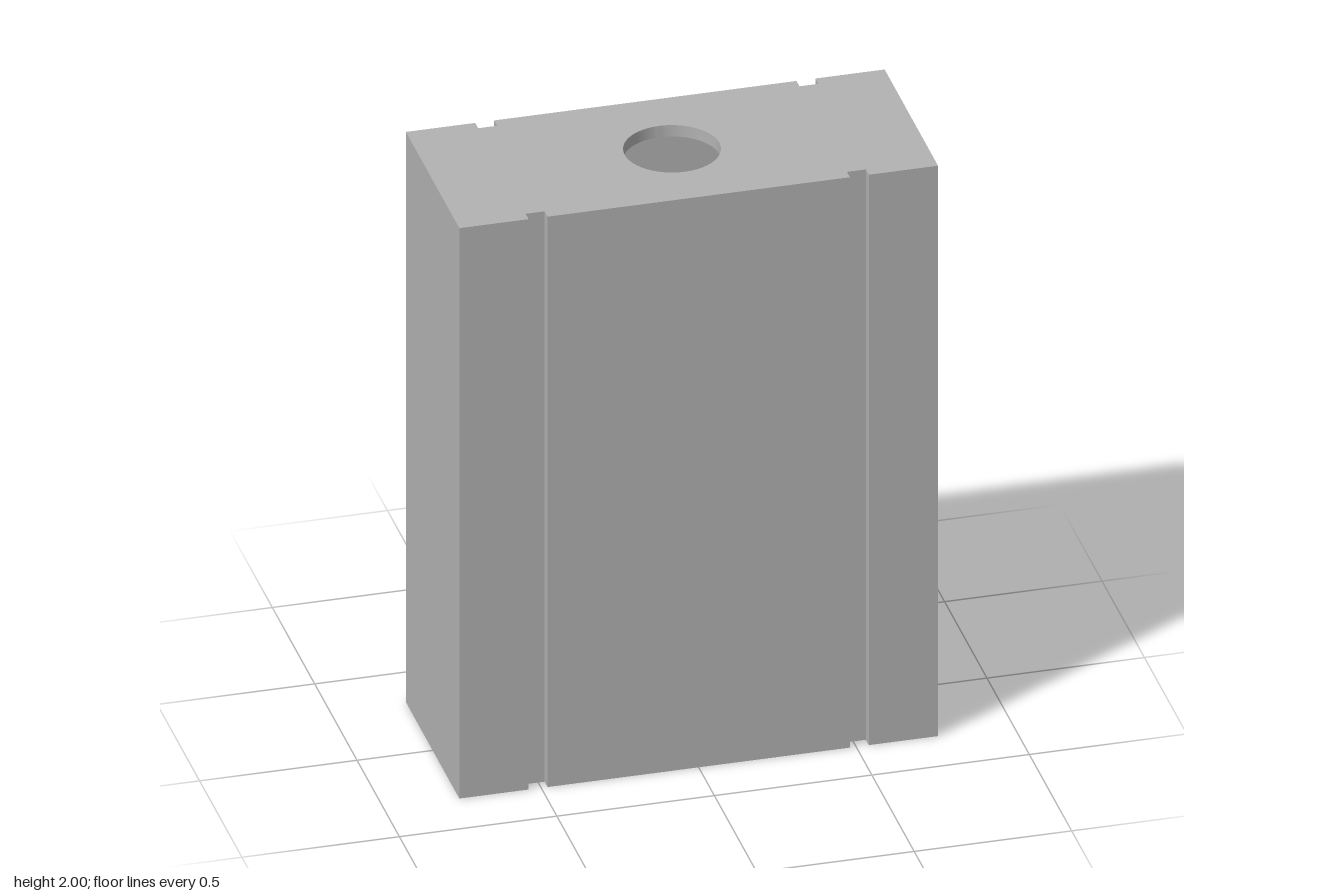
import * as THREE from 'three';
import { toCreasedNormals } from 'three/addons/utils/BufferGeometryUtils.js';

const HALF_W = 0.76, HALF_D = 0.315, HEIGHT = 2;
const WALL_X = 0.04, WALL_Z = 0.06, TOP = 0.04;
const GROOVE_IN = 0.48, GROOVE_OUT = 0.54, GROOVE_DEPTH = 0.035;
const HOLE_RADIUS = 0.15;

// Plan outline with two square grooves on each long side, counter-clockwise
function outline() {
  const floor = HALF_D - GROOVE_DEPTH;
  const side = [
    [-HALF_W, -HALF_D],
    [-GROOVE_OUT, -HALF_D], [-GROOVE_OUT, -floor], [-GROOVE_IN, -floor], [-GROOVE_IN, -HALF_D],
    [GROOVE_IN, -HALF_D], [GROOVE_IN, -floor], [GROOVE_OUT, -floor], [GROOVE_OUT, -HALF_D],
    [HALF_W, -HALF_D],
  ];
  const opposite = side.map(([x, y]) => [-x, -y]);
  return new THREE.Shape([...side, ...opposite].map(([x, y]) => new THREE.Vector2(x, y)));
}

// Extrude a plan shape upwards from height y
function slab(name, shape, y, height, material) {
  const geometry = new THREE.ExtrudeGeometry(shape, { depth: height, bevelEnabled: false, curveSegments: 48 });
  geometry.rotateX(-Math.PI / 2).translate(0, y, 0);
  const mesh = new THREE.Mesh(toCreasedNormals(geometry, Math.PI / 6), material);
  mesh.name = name;
  return mesh;
}

export function createModel() {
  const group = new THREE.Group();
  group.name = 'groovedCover';
  const grey = new THREE.MeshStandardMaterial({ color: 0xb2b2b2 });
  grey.name = 'grey';

  // Hollow walls, open at the bottom
  const walls = outline();
  const x = HALF_W - WALL_X, z = HALF_D - WALL_Z;
  walls.holes.push(new THREE.Path([[-x, -z], [-x, z], [x, z], [x, -z]].map(([a, b]) => new THREE.Vector2(a, b))));
  group.add(slab('walls', walls, 0, HEIGHT - TOP, grey));

  // Top plate with the round opening
  const top = outline();
  top.holes.push(new THREE.Path().absarc(0, 0, HOLE_RADIUS, 0, Math.PI * 2, true));
  group.add(slab('topPlate', top, HEIGHT - TOP, TOP, grey));

  return group;
}
